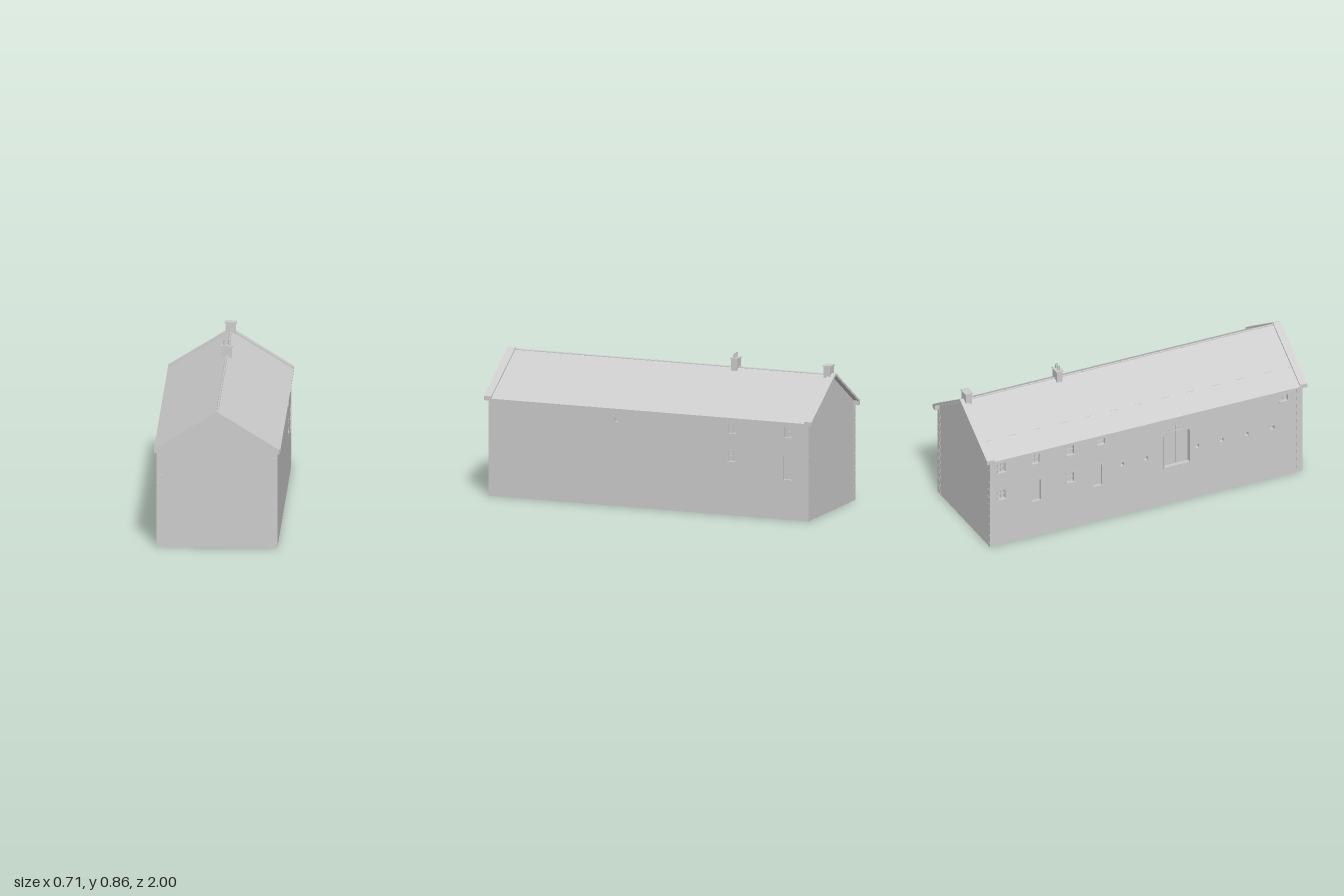
import * as THREE from 'three';

const stone = new THREE.MeshStandardMaterial({ color: 0xcccccc, side: THREE.DoubleSide });
stone.name = 'pale grey stone';

const HALF_W = 0.34, HALF_L = 0.975, EAVE = 0.562, PITCH = 0.62;

function add(parent, name, geometry, x = 0, y = 0, z = 0) {
  const mesh = new THREE.Mesh(geometry, stone);
  mesh.name = name;
  mesh.position.set(x, y, z);
  parent.add(mesh);
  return mesh;
}
const box = (parent, name, w, h, d, x, y, z) =>
  add(parent, name, new THREE.BoxGeometry(w, h, d), x, y, z);

function group(parent, name, x = 0, y = 0, z = 0) {
  const g = new THREE.Group();
  g.name = name;
  g.position.set(x, y, z);
  parent.add(g);
  return g;
}

const polygon = (pts) => new THREE.Shape(pts.map(([x, y]) => new THREE.Vector2(x, y)));

// Chevron section of a pitched roof, extruded along z and centred
function chevron(apex, thickness, halfWidth, length) {
  const low = apex - PITCH * halfWidth;
  const shape = polygon([[-halfWidth, low], [0, apex], [halfWidth, low],
    [halfWidth, low - thickness], [0, apex - thickness], [-halfWidth, low - thickness]]);
  return new THREE.ExtrudeGeometry(shape, { depth: length, bevelEnabled: false }).translate(0, 0, -length / 2);
}

// Lining of an opening, running inwards from the wall face
function reveal(g, w, h, depth) {
  const t = 0.004;
  for (const s of [-1, 1]) {
    box(g, 'jamb', t, h, depth, s * (w + t) / 2, 0, -depth / 2);
    box(g, 'lining', w + 2 * t, t, depth, 0, s * (h + t) / 2, -depth / 2);
  }
}

// Sash window with glazing bars, lintel, sill and toothed jamb stones
function makeWindow(wall, { u, y, w, h }) {
  const g = group(wall, 'window', u, y, 0);
  reveal(g, w, h, 0.022);
  box(g, 'pane', w, h, 0.003, 0, 0, -0.018);
  box(g, 'verticalBar', 0.004, h, 0.004, 0, 0, -0.014);
  box(g, 'meetingRail', w, 0.005, 0.005, 0, 0, -0.014);
  for (const s of [-1, 1]) {
    box(g, 'frameSide', 0.004, h, 0.005, s * (w / 2 - 0.002), 0, -0.014);
    box(g, 'frameEnd', w, 0.004, 0.005, 0, s * (h / 2 - 0.002), -0.014);
    for (const k of [-1, 1])
      box(g, 'jambStone', 0.008, h * 0.22, 0.003, s * (w / 2 + 0.004), k * h * 0.33, 0);
  }
  box(g, 'lintel', w + 0.02, 0.01, 0.003, 0, h / 2 + 0.005, 0);
  box(g, 'sill', w + 0.014, 0.007, 0.01, 0, -h / 2 - 0.0035, 0);
}

// Plain recessed door
function makeDoor(wall, { u, y, w, h }) {
  const g = group(wall, 'door', u, y, 0);
  reveal(g, w, h, 0.022);
  box(g, 'doorLeaf', w, h, 0.004, 0, 0, -0.018);
  box(g, 'lintel', w + 0.02, 0.011, 0.003, 0, h / 2 + 0.0055, 0);
  for (const s of [-1, 1]) for (const k of [-1, 0, 1])
    box(g, 'jambStone', 0.008, h * 0.16, 0.003, s * (w / 2 + 0.004), k * h * 0.35, 0);
}

// Small ventilation slot
function makeVent(wall, { u, y, w, h }) {
  const g = group(wall, 'vent', u, y, 0);
  reveal(g, w, h, 0.025);
  box(g, 'ventBack', w, h, 0.003, 0, 0, -0.024);
  box(g, 'ventLintel', w + 0.02, 0.008, 0.012, 0, h / 2 + 0.004, -0.004);
}

// Wide cart door with two leaves and a segmental arch of wedge stones
function makeCartDoor(wall, { u, y, w, h, rise }) {
  const g = group(wall, 'cartDoor', u, y, 0);
  const spring = h / 2;
  const radius = (w * w / 4 + rise * rise) / (2 * rise);
  const centre = spring + rise - radius;
  const half = Math.asin(w / 2 / radius);
  const back = polygon([[-w / 2, -h / 2], [w / 2, -h / 2], [w / 2, spring]]);
  back.absarc(0, centre, radius, Math.PI / 2 - half, Math.PI / 2 + half, false);
  add(g, 'doorBack', new THREE.ShapeGeometry(back, 10), 0, 0, -0.03);
  for (const s of [-1, 1]) {
    box(g, 'doorLeaf', w / 2 - 0.006, h, 0.006, s * w / 4, 0, -0.025);
    box(g, 'jamb', 0.007, h, 0.034, s * (w / 2 + 0.0035), 0, -0.015);
  }
  box(g, 'threshold', w + 0.014, 0.007, 0.034, 0, -h / 2 - 0.0035, -0.015);
  const n = 9;
  for (let i = 0; i < n; i++) {
    const a = half * 1.08 * (2 * i / (n - 1) - 1);
    const len = i % 2 ? 0.016 : 0.024;
    const r = radius + len / 2 - 0.001;
    const v = box(g, 'archStone', 2 * half * radius / n, len, 0.034,
      Math.sin(a) * r, centre + Math.cos(a) * r, -0.0145);
    v.rotation.z = -a;
  }
}

// Long wall with its openings cut through; u runs left to right seen from outside
function makeSideWall(parent, name, side, openings) {
  const wall = group(parent, name, side * HALF_W, 0, 0);
  wall.rotation.y = side * Math.PI / 2;
  const shape = polygon([[-HALF_L, 0], [HALF_L, 0], [HALF_L, EAVE], [-HALF_L, EAVE]]);
  for (const o of openings) {
    const { u, y, w, h } = o;
    const hole = new THREE.Path();
    hole.moveTo(u - w / 2, y - h / 2);
    hole.lineTo(u + w / 2, y - h / 2);
    hole.lineTo(u + w / 2, y + h / 2);
    if (o.rise) hole.quadraticCurveTo(u, y + h / 2 + 2 * o.rise, u - w / 2, y + h / 2);
    else hole.lineTo(u - w / 2, y + h / 2);
    hole.closePath();
    shape.holes.push(hole);
    o.make(wall, o);
  }
  add(wall, 'wallFace', new THREE.ShapeGeometry(shape, 10));
}

const sash = (u, y, h = 0.06) => ({ make: makeWindow, u, y, w: 0.045, h });
const door = (u, y = 0.295) => ({ make: makeDoor, u, y, w: 0.055, h: 0.135 });
const vent = (u, y = 0.33) => ({ make: makeVent, u, y, w: 0.022, h: 0.026 });

function makeChimney(parent, z, depth, pots) {
  const g = group(parent, 'chimney', 0, 0, z);
  box(g, 'chimneyStack', 0.058, 0.075, depth, 0, 0.793, 0);
  box(g, 'chimneyCap', 0.068, 0.006, depth + 0.008, 0, 0.832, 0);
  if (!pots) return;
  for (const s of [-1, 1])
    add(g, 'chimneyPot', new THREE.CylinderGeometry(0.006, 0.007, 0.027, 12, 1, true), s * 0.0155, 0.848, 0);
}

export function createModel() {
  const model = new THREE.Group();
  model.name = 'stoneBarn';

  // Side walls
  makeSideWall(model, 'leftWall', 1, [
    sash(0.509, 0.5), sash(0.509, 0.338), sash(0.848, 0.5), door(0.848), vent(-0.197, 0.495),
  ]);
  makeSideWall(model, 'rightWall', -1, [
    sash(-0.9, 0.5), sash(-0.9, 0.325), sash(-0.69, 0.505), sash(-0.473, 0.505), sash(-0.473, 0.327),
    sash(-0.28, 0.512, 0.038), sash(0.862, 0.505, 0.038), door(-0.685), door(-0.303),
    ...[-0.15, 0, 0.32, 0.473, 0.627, 0.789].map((u) => vent(u)),
    { make: makeCartDoor, u: 0.194, y: 0.345, w: 0.155, h: 0.21, rise: 0.025 },
  ]);

  // Gable walls, copings, kneelers and corner stones
  const gable = new THREE.ShapeGeometry(polygon([[-HALF_W, 0], [HALF_W, 0], [HALF_W, EAVE],
    [0, EAVE + PITCH * HALF_W], [-HALF_W, EAVE]]));
  for (const end of [1, -1]) {
    const g = group(model, end > 0 ? 'frontGable' : 'backGable');
    if (end < 0) g.rotation.y = Math.PI;
    add(g, 'gableWall', gable, 0, 0, HALF_L);
    add(g, 'coping', chevron(0.791, 0.015, 0.354, 0.045), 0, 0, 0.9775);
    for (const s of [-1, 1]) {
      box(g, 'kneeler', 0.034, 0.024, 0.045, s * 0.337, 0.56, 0.9775);
      const rows = 22, step = 0.545 / rows;
      for (let i = 0; i < rows; i++) {
        const long = i % 2 === 0;
        const w = long ? 0.036 : 0.022, d = long ? 0.022 : 0.036;
        box(g, 'cornerStone', w, step * 0.92, d,
          s * (HALF_W + 0.001 - w / 2), (i + 0.5) * step, HALF_L + 0.001 - d / 2);
      }
    }
  }

  // Roof slopes with a thin band on the right slope
  add(model, 'roof', chevron(0.781, 0.006, 0.356, 1.912));
  const band = box(model, 'roofBand', 0.024, 0.001, 1.91, -0.23, 0.781 - PITCH * 0.23, 0);
  band.rotation.z = Math.atan(PITCH);

  // Ridge tiles
  const tiles = 40, tileLength = 1.91 / tiles;
  for (let i = 0; i < tiles; i++) {
    const tile = add(model, 'ridgeTile', new THREE.CylinderGeometry(0.006, 0.006, tileLength * 0.96, 8),
      0, 0.779, -0.955 + (i + 0.5) * tileLength);
    tile.rotation.x = Math.PI / 2;
  }

  // Chimneys
  makeChimney(model, -0.39, 0.036, true);
  makeChimney(model, -0.957, 0.04, false);
  return model;
}
